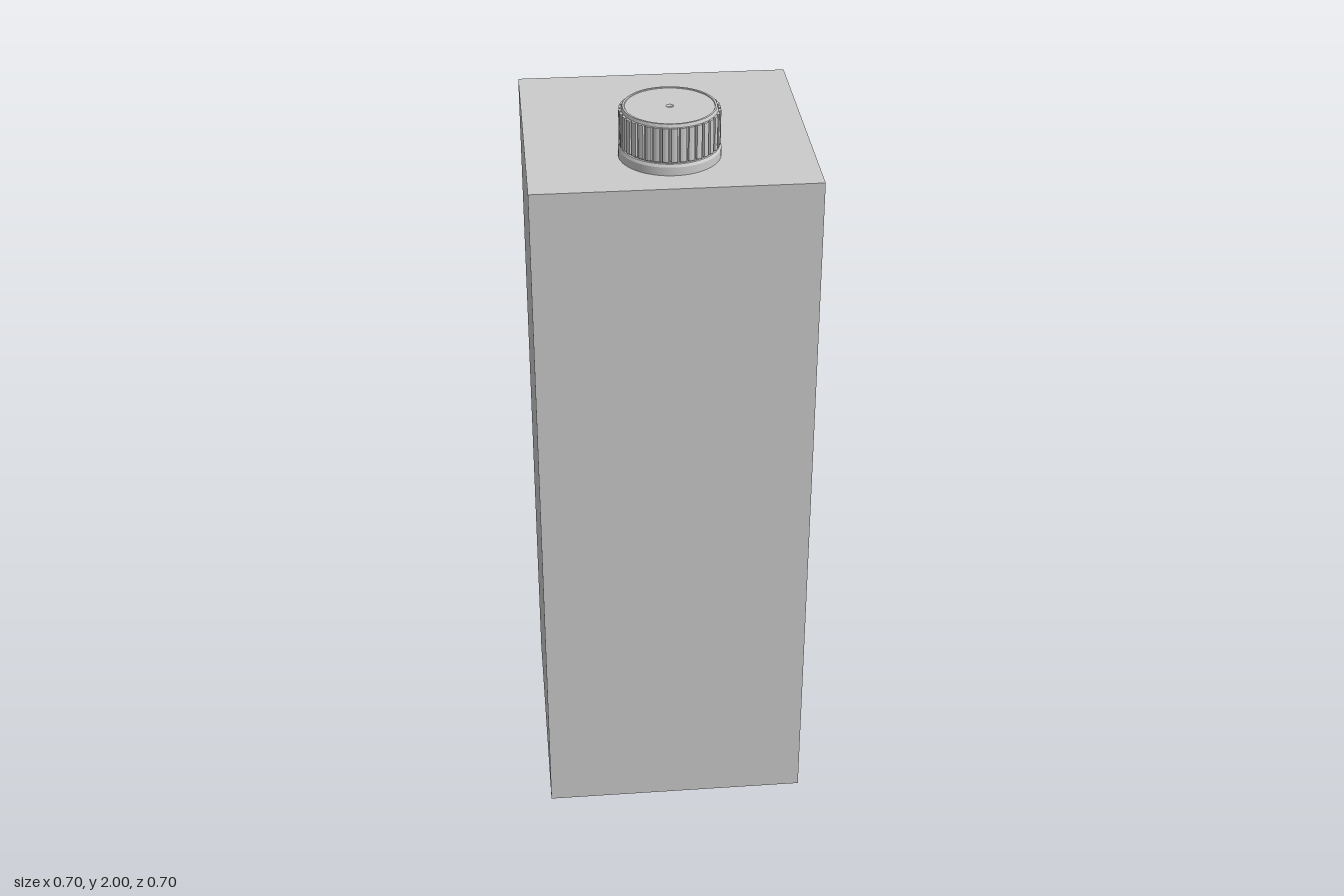
import * as THREE from 'three';
import { toCreasedNormals } from 'three/addons/utils/BufferGeometryUtils.js';

const BODY_W = 0.7, BODY_H = 1.873, CAP_Z = 0.153, RIBS = 36;

export function createModel() {
  const model = new THREE.Group();
  model.name = 'carton';
  const grey = new THREE.MeshStandardMaterial({ color: 0xcccccc });
  grey.name = 'light grey';

  const add = (name, geometry, parent) => {
    const mesh = new THREE.Mesh(geometry, grey);
    mesh.name = name;
    parent.add(mesh);
    return mesh;
  };
  // Profile runs from the bottom outside to the top centre
  const turned = (profile) => toCreasedNormals(
    new THREE.LatheGeometry(profile.map(([r, y]) => new THREE.Vector2(r, y)), 72), 0.5);

  // Square carton body
  add('body', new THREE.BoxGeometry(BODY_W, BODY_H, BODY_W), model).position.y = BODY_H / 2;

  // Screw cap, towards the front of the top
  const cap = new THREE.Group();
  cap.name = 'screwCap';
  cap.position.set(0, BODY_H, CAP_Z);
  model.add(cap);

  // Tamper ring with a sloping shoulder
  add('tamperRing', turned([
    [0.125, 0], [0.125, 0.021], [0.121, 0.028], [0.115, 0.028],
  ]), cap);

  // Cap core, rounded rim, shallow recessed top and centre dimple
  add('capCore', turned([
    [0.115, 0.026], [0.117, 0.034], [0.117, 0.121], [0.114, 0.127], [0.109, 0.127],
    [0.108, 0.125], [0.009, 0.125], [0.006, 0.121], [0, 0.119],
  ]), cap);

  // Grip: a band cut by narrow vertical grooves
  const grip = new THREE.Shape();
  const step = (Math.PI * 2) / RIBS;
  for (let i = 0; i < RIBS; i++) {
    for (const [t, r] of [[-0.34, 0.1225], [0, 0.1235], [0.34, 0.1225], [0.42, 0.1175], [0.58, 0.1175]]) {
      const a = (i + t) * step;
      const x = Math.cos(a) * r, y = Math.sin(a) * r;
      if (i === 0 && t === -0.34) grip.moveTo(x, y);
      else grip.lineTo(x, y);
    }
  }
  grip.closePath();
  const hole = new THREE.Path();
  hole.absarc(0, 0, 0.112, 0, Math.PI * 2, true);
  grip.holes.push(hole);
  const gripGeometry = new THREE.ExtrudeGeometry(grip, { depth: 0.086, bevelEnabled: false, curveSegments: 36 });
  gripGeometry.rotateX(-Math.PI / 2);
  add('capGrip', gripGeometry, cap).position.y = 0.033;

  return model;
}
